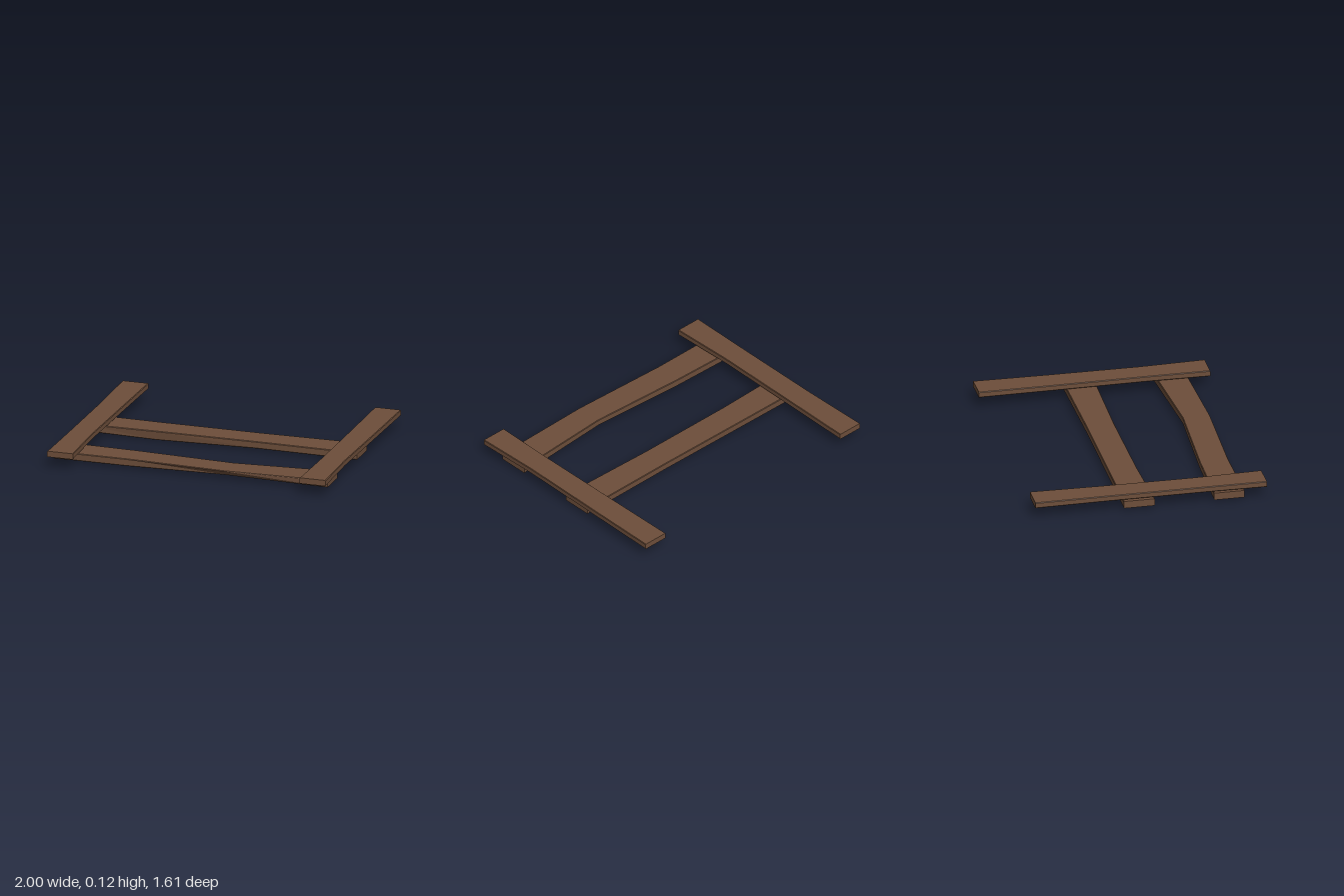
import * as THREE from 'three';

const wood = new THREE.MeshStandardMaterial({ color: 0x6d4e3a });
wood.name = 'brown wood';
wood.flatShading = true;

// Cut each corner of a four-sided section by a small chamfer
function chamfer(corners, size) {
  const out = [];
  corners.forEach((p, i) => {
    for (const q of [corners[(i + 3) % 4], corners[(i + 1) % 4]]) {
      const t = size / Math.hypot(q[0] - p[0], q[1] - p[1]);
      out.push([p[0] + (q[0] - p[0]) * t, p[1] + (q[1] - p[1]) * t]);
    }
  });
  return out;
}

// Plank lofted through sections { at, corners }; place(at, u, y) gives the 3D point.
// Corners run: low-min, low-max, top-max, top-min.
function plank(name, sections, place) {
  const rings = sections.map(({ at, corners }) =>
    chamfer(corners, 0.004).map(([u, y]) => place(at, u, y)));
  const n = rings[0].length;
  const pos = [];
  const tri = (a, b, c) => pos.push(...a, ...b, ...c);
  for (let s = 0; s < rings.length - 1; s++) {
    const r = rings[s], q = rings[s + 1];
    for (let i = 0; i < n; i++) {
      const j = (i + 1) % n;
      tri(r[i], r[j], q[j]);
      tri(r[i], q[j], q[i]);
    }
  }
  // end caps
  const first = rings[0], last = rings[rings.length - 1];
  for (let i = 1; i < n - 1; i++) {
    tri(first[0], first[i + 1], first[i]);
    tri(last[0], last[i], last[i + 1]);
  }
  const g = new THREE.BufferGeometry();
  g.setAttribute('position', new THREE.Float32BufferAttribute(pos, 3));
  g.computeVertexNormals();
  const mesh = new THREE.Mesh(g, wood);
  mesh.name = name;
  return mesh;
}

const box = (u0, u1, y0, y1) => [[u0, y0], [u1, y0], [u1, y1], [u0, y1]];

// Rails run from back to front, cross planks from left (+x) to right (-x)
const alongZ = (z, x, y) => [x, y, z];
const alongX = (x, z, y) => [x, y, z];

export function createModel() {
  const group = new THREE.Group();
  group.name = 'plankFrame';

  // two upper side rails, slightly narrowed toward the middle
  group.add(plank('leftRail', [
    { at: -0.805, corners: box(0.81, 0.997, 0.078, 0.119) },
    { at: -0.3, corners: box(0.812, 0.991, 0.078, 0.117) },
    { at: 0.35, corners: box(0.815, 0.984, 0.079, 0.118) },
    { at: 0.803, corners: box(0.81, 0.997, 0.078, 0.119) },
  ], alongZ));
  group.add(plank('rightRail', [
    { at: -0.805, corners: box(-0.998, -0.812, 0.078, 0.119) },
    { at: -0.3, corners: box(-0.992, -0.82, 0.078, 0.117) },
    { at: 0.35, corners: box(-0.994, -0.826, 0.079, 0.118) },
    { at: 0.803, corners: box(-0.998, -0.812, 0.078, 0.119) },
  ], alongZ));

  // lower front plank with a bend left of centre
  group.add(plank('frontPlank', [
    { at: 0.96, corners: box(0.438, 0.655, 0.018, 0.069) },
    { at: 0.23, corners: [[0.485, 0.02], [0.65, 0.03], [0.675, 0.066], [0.485, 0.066]] },
    { at: -0.48, corners: box(0.447, 0.646, 0.017, 0.068) },
    { at: -1, corners: box(0.435, 0.648, 0.018, 0.069) },
  ], alongX));

  // lower middle plank, sagging on its front edge
  group.add(plank('middlePlank', [
    { at: 0.96, corners: box(-0.19, 0.026, 0.018, 0.069) },
    { at: 0.23, corners: box(-0.184, 0.01, 0.018, 0.067) },
    { at: -0.48, corners: [[-0.188, 0.017], [0.005, 0.002], [0.011, 0.067], [-0.188, 0.067]] },
    { at: -1, corners: box(-0.192, 0.024, 0.018, 0.069) },
  ], alongX));

  return group;
}
